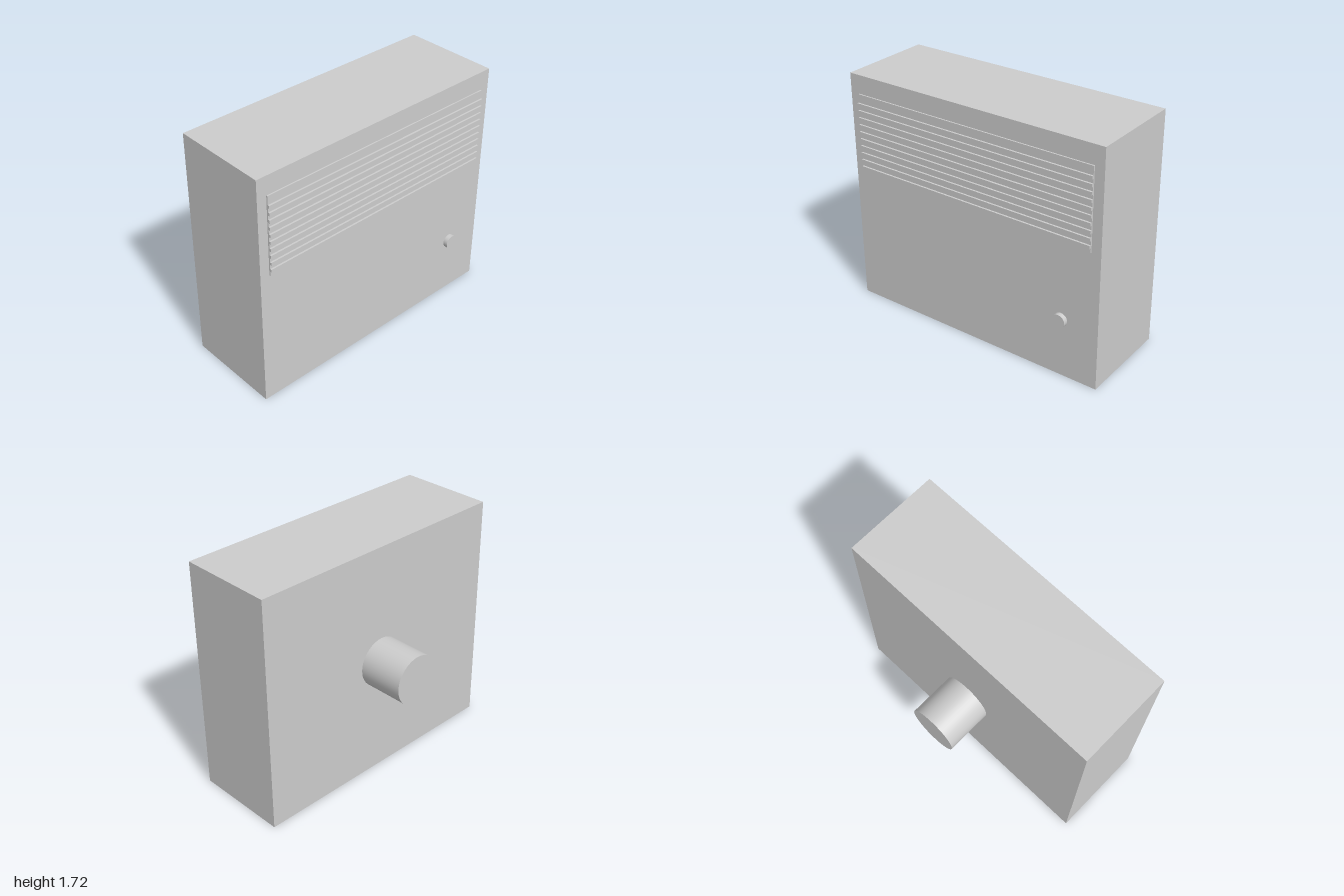
import * as THREE from 'three';

export function createModel() {
  const group = new THREE.Group();
  const lightGrey = new THREE.MeshStandardMaterial({ color: 0xcccccc });
  lightGrey.name = 'lightGrey';

  function add(name, geometry, x, y, z) {
    const mesh = new THREE.Mesh(geometry, lightGrey);
    mesh.name = name;
    mesh.position.set(x, y, z);
    group.add(mesh);
  }

  // Box spanning z0 (back) to z1 (front)
  function addBox(name, width, height, y, z0, z1) {
    add(name, new THREE.BoxGeometry(width, height, z1 - z0), 0, y, (z0 + z1) / 2);
  }

  // Cylinder with its axis along z
  function addRound(name, radius, x, y, z0, z1) {
    const geometry = new THREE.CylinderGeometry(radius, radius, z1 - z0, 48).rotateX(Math.PI / 2);
    add(name, geometry, x, y, (z0 + z1) / 2);
  }

  const front = 0.497, back = -0.197;

  // Cabinet
  addBox('cabinet', 2, 1.72, 0.86, back, front);

  // Grille: thin back plate with evenly spaced horizontal slats
  addBox('grillePlate', 1.86, 0.585, 1.293, front, 0.507);
  const slatCount = 10;
  for (let i = 0; i < slatCount; i++) {
    addBox('grilleSlat' + (i + 1), 1.86, 0.022, 1.045 + i * 0.052, 0.507, 0.52);
  }

  // Control knob
  addRound('knob', 0.05, 0.72, 0.432, front, 0.53);

  // Rear flue pipe
  addRound('fluePipe', 0.18, 0, 0.861, -0.53, back);

  return group;
}
